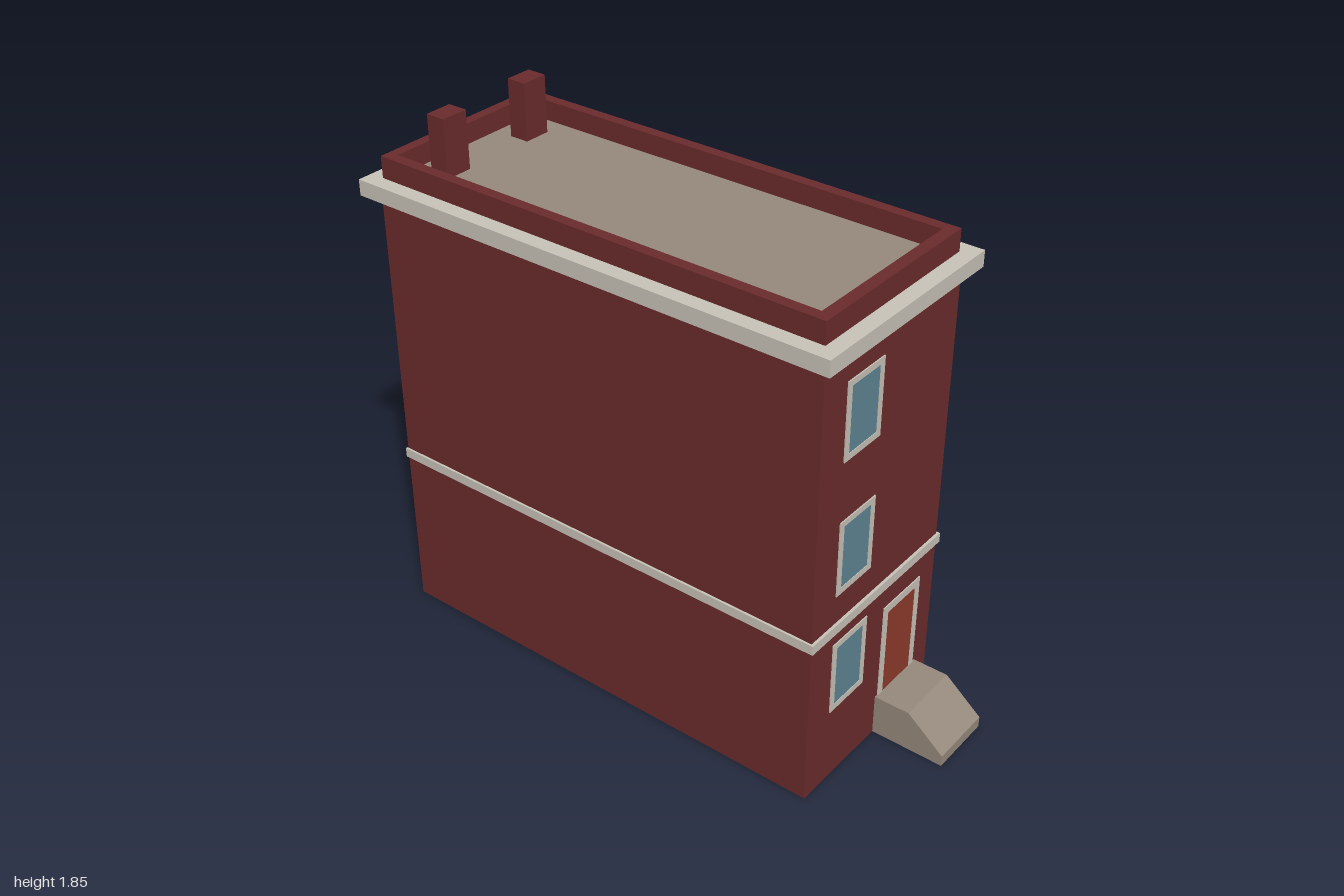
import * as THREE from 'three';

const mat = (name, color, side = THREE.FrontSide) => {
  const m = new THREE.MeshStandardMaterial({ color, side });
  m.name = name;
  return m;
};

export function createModel() {
  const brick = mat('brick', 0x6b2c2d, THREE.DoubleSide);
  const stone = mat('paleStone', 0xcac4b8, THREE.DoubleSide);
  const taupe = mat('roofAndStep', 0x978a7d, THREE.DoubleSide);
  const glass = mat('windowGlass', 0x5e8595);
  const doorRed = mat('doorRed', 0x8e3a2c);

  const group = new THREE.Group();
  const add = (name, geometry, material, parent = group) => {
    const mesh = new THREE.Mesh(geometry, material);
    mesh.name = name;
    parent.add(mesh);
    return mesh;
  };

  // Box from its limits; "skip" lists faces left open (2 = top, 3 = bottom)
  const box = (x0, x1, y0, y1, z0, z1, skip = []) => {
    const g = new THREE.BoxGeometry(x1 - x0, y1 - y0, z1 - z0);
    g.translate((x0 + x1) / 2, (y0 + y1) / 2, (z0 + z1) / 2);
    if (skip.length) {
      const index = Array.from(g.index.array);
      g.setIndex(index.filter((_, i) => !skip.includes(Math.floor(i / 6))));
      g.clearGroups();
    }
    return g;
  };

  // Rectangular ring in the xy plane, extruded along +z
  const rect = (Type, x0, x1, y0, y1) => {
    const p = new Type();
    p.moveTo(x0, y0);
    p.lineTo(x1, y0);
    p.lineTo(x1, y1);
    p.lineTo(x0, y1);
    p.closePath();
    return p;
  };
  const ring = (outer, inner, depth) => {
    const shape = rect(THREE.Shape, ...outer);
    shape.holes.push(rect(THREE.Path, ...inner));
    return new THREE.ExtrudeGeometry(shape, { depth, bevelEnabled: false });
  };

  const W = 0.35, FRONT = 0.737, BACK = -0.953;

  // Hollow walls and the overhanging cornice, both open underneath
  add('walls', box(-W, W, 0, 1.644, BACK, FRONT, [2, 3]), brick);
  add('cornice', box(-0.397, 0.397, 1.59, 1.645, -1, 0.783, [3]), stone);

  // Parapet around the flat roof
  const parapet = ring([-0.343, 0.343, -0.729, 0.948], [-0.305, 0.305, -0.688, 0.911], 0.075);
  parapet.rotateX(-Math.PI / 2).translate(0, 1.645, 0);
  add('parapet', parapet, brick);
  add('roof', box(-0.306, 0.306, 1.645, 1.65, -0.912, 0.689, [3]), taupe);

  // Chimneys
  for (const s of [-1, 1]) {
    const g = box(-0.049, 0.049, 1.645, 1.85, -0.844, -0.773);
    add(s < 0 ? 'rightChimney' : 'leftChimney', g.translate(s * 0.182, 0, 0), brick);
  }

  // Stone band on the front and both sides, none on the back
  const band = new THREE.Group();
  band.name = 'stoneBand';
  group.add(band);
  add('frontBand', box(-0.358, 0.358, 0.596, 0.63, FRONT, 0.747), stone, band);
  for (const s of [-1, 1]) {
    const x = s < 0 ? -0.358 : W;
    add('sideBand', box(x, x + 0.008, 0.596, 0.63, -0.957, FRONT), stone, band);
  }

  // Windows, one above the other
  [0.277, 0.735, 1.215].forEach((y, i) => {
    const w = new THREE.Group();
    w.name = 'window' + (i + 1);
    w.position.set(-0.141, y, FRONT);
    group.add(w);
    add('windowFrame', ring([-0.092, 0.092, 0, 0.269], [-0.071, 0.071, 0.022, 0.248], 0.004), stone, w);
    add('windowPane', box(-0.071, 0.071, 0.022, 0.248, 0, 0.002), glass, w);
  });

  // Door with a frame on three sides
  const door = new THREE.Group();
  door.name = 'door';
  door.position.set(0.158, 0, FRONT);
  group.add(door);
  add('doorLeaf', box(-0.08, 0.08, 0.15, 0.48, 0, 0.002), doorRed, door);
  add('doorLintel', box(-0.105, 0.105, 0.48, 0.509, 0, 0.004), stone, door);
  for (const s of [-1, 1]) {
    add('doorJamb', box(-0.0125, 0.0125, 0.15, 0.48, 0, 0.004).translate(s * 0.0925, 0, 0), stone, door);
  }

  // Sloped doorstep, hollow underneath: a folded top and two side cheeks
  const step = new THREE.Group();
  step.name = 'doorstep';
  group.add(step);
  const X0 = 0.041, X1 = 0.277;
  const profile = [[FRONT, 0.15], [0.866, 0.15], [1, 0.04], [1, 0]];
  const verts = [];
  for (let i = 0; i < profile.length - 1; i++) {
    const [za, ya] = profile[i], [zb, yb] = profile[i + 1];
    verts.push(X0, ya, za, X0, yb, zb, X1, yb, zb, X0, ya, za, X1, yb, zb, X1, ya, za);
  }
  const tread = new THREE.BufferGeometry();
  tread.setAttribute('position', new THREE.Float32BufferAttribute(verts, 3));
  tread.computeVertexNormals();
  add('stepTop', tread, taupe, step);

  const cheek = new THREE.Shape([[FRONT, 0], ...profile].map(([z, y]) => new THREE.Vector2(-z, y)));
  for (const x of [X0, X1]) {
    const g = new THREE.ShapeGeometry(cheek).rotateY(Math.PI / 2).translate(x, 0, 0);
    // The inner-facing side is turned outward on the model's right
    if (x === X0) g.scale(-1, 1, 1).translate(2 * X0, 0, 0);
    const mesh = add('stepCheek', g, taupe, step);
    if (x === X0) {
      const idx = mesh.geometry.index.array;
      for (let i = 0; i < idx.length; i += 3) [idx[i], idx[i + 1]] = [idx[i + 1], idx[i]];
      mesh.geometry.computeVertexNormals();
    }
  }

  return group;
}
